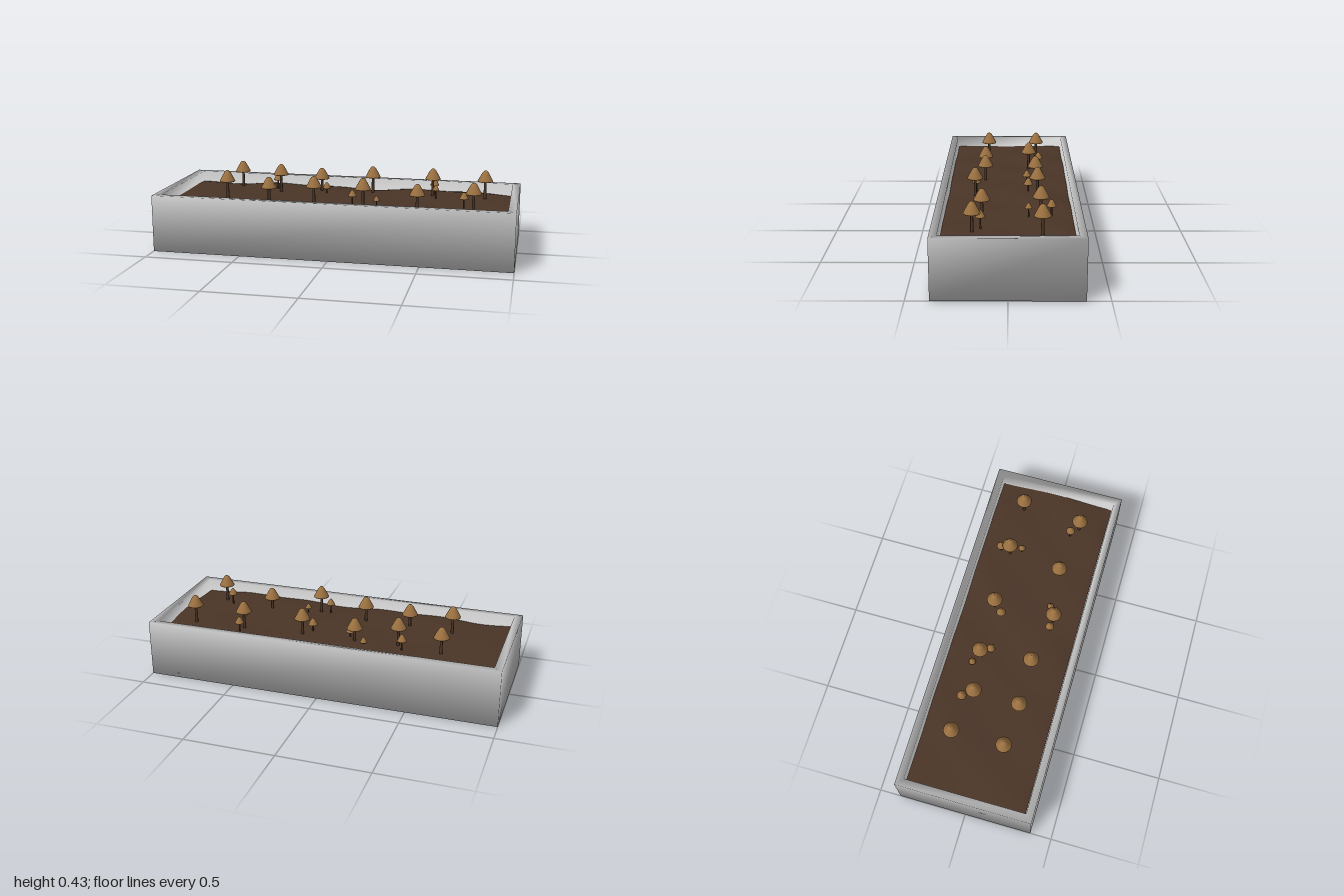
import * as THREE from 'three';

const mat = (color, side = THREE.FrontSide) => new THREE.MeshStandardMaterial({ color, side });

// Gently uneven soil height, sinking towards the walls
const soilHeight = (x, z) =>
  0.272 + 0.007 * Math.sin(7 * x + 1) * Math.cos(8 * z) + 0.004 * Math.sin(15 * x + 11 * z)
  - 0.012 * Math.max((x / 0.95) ** 6, (z / 0.335) ** 6);

// Open box from rectangular rings [half width, y, half depth]; shared corners give soft shading
function troughGeometry() {
  const rings = [[1, 0, 0.38], [1, 0.32, 0.38], [0.955, 0.32, 0.34], [0.948, 0.2, 0.333]];
  const positions = [], index = [];
  for (const [w, y, d] of rings) positions.push(-w, y, d, w, y, d, w, y, -d, -w, y, -d);
  for (let r = 0; r < rings.length - 1; r++) {
    for (let i = 0; i < 4; i++) {
      const a = r * 4 + i, b = r * 4 + (i + 1) % 4;
      index.push(a, b, b + 4, a, b + 4, a + 4);
    }
  }
  index.push(0, 3, 2, 0, 2, 1); // underside
  index.push(12, 13, 14, 12, 14, 15); // inner floor
  const geo = new THREE.BufferGeometry();
  geo.setAttribute('position', new THREE.Float32BufferAttribute(positions, 3));
  geo.setIndex(index);
  geo.computeVertexNormals();
  return geo;
}

function soilGeometry() {
  const geo = new THREE.PlaneGeometry(1.9, 0.67, 60, 24).rotateX(-Math.PI / 2);
  const p = geo.attributes.position;
  for (let i = 0; i < p.count; i++) p.setY(i, soilHeight(p.getX(i), p.getZ(i)));
  geo.computeVertexNormals();
  return geo;
}

// Cap profile at full size: flat underside, flared brim, rounded tip; origin at the tip
const capProfile = [
  [0, -0.06], [0.043, -0.064], [0.044, -0.061], [0.036, -0.046],
  [0.026, -0.027], [0.016, -0.01], [0.008, -0.002], [0, 0],
].map(([x, y]) => new THREE.Vector2(x, y));

// Mushrooms: [x, z, height of tip, size]
const MUSHROOMS = [
  [-0.64, 0.125, 0.43, 1], [-0.39, 0.14, 0.405, 1], [-0.13, 0.135, 0.42, 1],
  [0.16, 0.185, 0.43, 1], [0.455, 0.14, 0.4, 1], [0.765, 0.18, 0.43, 1],
  [-0.64, -0.17, 0.43, 1], [-0.39, -0.12, 0.43, 1], [-0.15, -0.155, 0.41, 1],
  [0.155, -0.16, 0.43, 1], [0.505, -0.17, 0.43, 1], [0.805, -0.17, 0.43, 1],
  [-0.425, -0.18, 0.36, 0.6], [-0.21, -0.185, 0.315, 0.45], [-0.11, -0.105, 0.335, 0.55],
  [0.11, -0.11, 0.355, 0.6], [0.51, -0.225, 0.357, 0.58], [0.53, -0.105, 0.345, 0.45],
  [0.1, 0.18, 0.36, 0.55], [0.23, 0.15, 0.325, 0.42], [0.71, 0.14, 0.366, 0.58],
];

export function createModel() {
  const model = new THREE.Group();
  const add = (parent, name, geo, material) => {
    const mesh = new THREE.Mesh(geo, material);
    mesh.name = name;
    parent.add(mesh);
    return mesh;
  };

  add(model, 'trough', troughGeometry(), mat(0xcccccc));
  add(model, 'soil', soilGeometry(), mat(0x4a3527, THREE.DoubleSide));

  const capGeo = new THREE.LatheGeometry(capProfile, 20);
  const stemGeo = new THREE.CylinderGeometry(0.007, 0.009, 1, 10);
  const capMat = mat(0x9a7040, THREE.DoubleSide);
  const stemMat = mat(0x4a3524);

  for (const [x, z, top, size] of MUSHROOMS) {
    const mushroom = new THREE.Group();
    mushroom.name = 'mushroom';
    mushroom.position.set(x, 0, z);
    const cap = add(mushroom, 'cap', capGeo, capMat);
    cap.position.y = top;
    cap.scale.setScalar(size);
    // Stem runs from just under the soil up into the cap
    const low = soilHeight(x, z) - 0.02, high = top - 0.05 * size;
    const stem = add(mushroom, 'stem', stemGeo, stemMat);
    stem.position.y = (low + high) / 2;
    stem.scale.set(size, high - low, size);
    model.add(mushroom);
  }
  return model;
}
